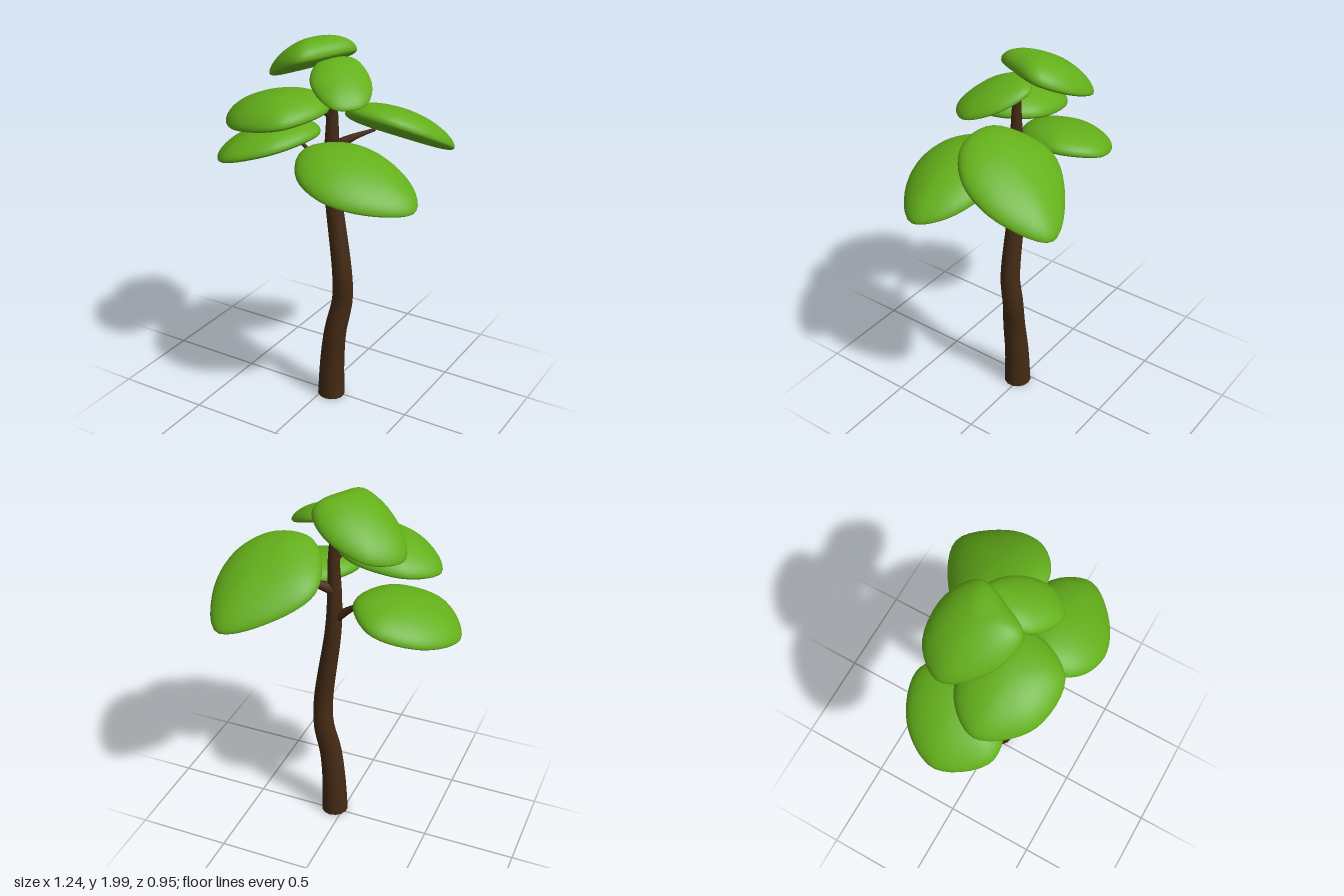
import * as THREE from 'three';
import { mergeVertices } from 'three/addons/utils/BufferGeometryUtils.js';

const bark = new THREE.MeshStandardMaterial({ color: 0x452b15 });
const leaf = new THREE.MeshStandardMaterial({ color: 0x64b01b });

// Tapered limb through points, with the radius given as a function of 0..1 along it
function limb(name, points, radius, rows, sides) {
  const curve = new THREE.CatmullRomCurve3(points.map(p => new THREE.Vector3(...p)));
  const geo = new THREE.TubeGeometry(curve, rows, 1, sides);
  const pos = geo.attributes.position;
  const v = new THREE.Vector3();
  for (let i = 0; i < pos.count; i++) {
    const u = Math.floor(i / (sides + 1)) / rows;
    const c = curve.getPointAt(u);
    v.fromBufferAttribute(pos, i).sub(c).multiplyScalar(radius(u)).add(c);
    pos.setXYZ(i, v.x, v.y, v.z);
  }
  const mesh = new THREE.Mesh(geo, bark);
  mesh.name = name;
  return mesh;
}

// Branch that leaves the trunk, bends outward and thins towards its clump
function branch(name, start, end, thickness) {
  const middle = start.map((s, i) => s + (end[i] - s) * (i === 1 ? 0.55 : 0.45));
  return limb(name, [start, middle, end], u => thickness * (1 - u) ** 1.5 + 0.009, 8, 10);
}

// Drooping, tilted cushion of leaves: a sphere stretched onto an outline in x and z
function clump(name, centre, slope, [top, bottom, droop], outline) {
  const [cx, cy, cz] = centre;
  const rim = new THREE.CatmullRomCurve3(outline.map(([x, z]) => new THREE.Vector3(x, 0, z)), true);
  let geo = new THREE.SphereGeometry(1, 40, 24);
  geo.deleteAttribute('uv');
  geo.deleteAttribute('normal');
  geo = mergeVertices(geo, 1e-4);
  const pos = geo.attributes.position;
  for (let i = 0; i < pos.count; i++) {
    const x = pos.getX(i), y = pos.getY(i), z = pos.getZ(i);
    const p = rim.getPoint((Math.atan2(z, x) / (2 * Math.PI) + 1) % 1);
    const r = Math.hypot(x, z) ** 0.9;
    const dx = (p.x - cx) * r, dz = (p.z - cz) * r;
    const lift = y * (y > 0 ? top : bottom) + droop * (1 - r * r);
    pos.setXYZ(i, cx + dx, cy + slope[0] * dx + slope[1] * dz + lift, cz + dz);
  }
  geo.computeVertexNormals();
  const mesh = new THREE.Mesh(geo, leaf);
  mesh.name = name;
  return mesh;
}

export function createModel() {
  const tree = new THREE.Group();
  tree.name = 'tree';

  // Gently winding trunk, tapering quickly near the crown
  const trunkPath = [
    [0.05, 0, 0.016], [0.055, 0.2, 0.016], [0.075, 0.4, 0.018], [0.108, 0.59, 0.002], [0.113, 0.75, 0.014],
    [0.053, 1.2, 0.01], [0.046, 1.4, 0.014], [0.05, 1.6, 0.014], [0.04, 1.77, 0.014], [0, 1.9, 0],
  ];
  const trunkRadius = u => 0.042 + 0.032 * (1 - u) ** 2.2 - 0.034 * u ** 6;
  tree.add(limb('trunk', trunkPath, trunkRadius, 40, 14));

  // Underside of the trunk
  const base = new THREE.Mesh(new THREE.CircleGeometry(0.074, 14), bark);
  base.name = 'trunkBase';
  base.rotation.x = Math.PI / 2;
  base.position.set(0.05, 0, 0.016);
  tree.add(base);

  // Branches reaching into the clumps
  tree.add(
    branch('lowerRightBranch', [0.045, 1.27, 0.01], [-0.17, 1.43, -0.02], 0.02),
    branch('middleRightBranch', [0.05, 1.61, 0.01], [-0.03, 1.67, 0.11], 0.015),
    branch('backLeftBranch', [0.05, 1.44, 0.01], [0.22, 1.53, -0.12], 0.026),
    branch('frontLeftBranch', [0.05, 1.38, 0.01], [0.14, 1.45, 0.11], 0.015),
    branch('smallFrontBranch', [0.045, 1.71, 0.012], [0.09, 1.82, 0.05], 0.008),
  );

  // Foliage: centre, slope along x and z, [rise above, drop below, droop of the rim], outline
  tree.add(
    clump('lowerRightClump', [-0.36, 1.377, -0.01], [0.27, -0.03], [0.08, 0.05, 0.03],
      [[-0.62, 0.02], [-0.5, -0.2], [-0.26, -0.28], [-0.1, -0.1], [-0.2, 0.17], [-0.46, 0.25]]),
    clump('middleRightClump', [-0.18, 1.622, 0.18], [0.17, -0.06], [0.085, 0.055, 0.035],
      [[-0.465, 0.15], [-0.33, -0.03], [-0.05, -0.05], [0.09, 0.13], [-0.02, 0.385], [-0.3, 0.375]]),
    clump('crownClump', [-0.12, 1.842, -0.05], [0.4, 0.15], [0.088, 0.055, 0.035],
      [[-0.355, -0.1], [-0.23, -0.245], [-0.02, -0.245], [0.1, -0.13],
        [0.04, 0.05], [-0.04, 0.17], [-0.17, 0.15], [-0.31, 0.03]]),
    clump('smallFrontClump', [0.14, 1.803, 0.08], [-0.3, -0.28], [0.055, 0.035, 0.015],
      [[0.1, -0.105], [0.25, -0.02], [0.303, 0.14], [0.2, 0.255], [0.03, 0.185], [-0.02, 0.04]]),
    clump('backLeftClump', [0.34, 1.52, -0.19], [-0.08, 0.48], [0.09, 0.06, 0.03],
      [[0.05, -0.2], [0.22, -0.39], [0.46, -0.475], [0.583, -0.25], [0.555, -0.05], [0.4, 0.08], [0.17, 0.06]]),
    clump('frontLeftClump', [0.3, 1.382, 0.22], [-0.28, -0.12], [0.09, 0.055, 0.035],
      [[0, 0.22], [0.13, 0.03], [0.32, -0.02], [0.54, 0.07], [0.62, 0.22], [0.46, 0.4], [0.26, 0.47], [0.09, 0.41]]),
  );
  return tree;
}
